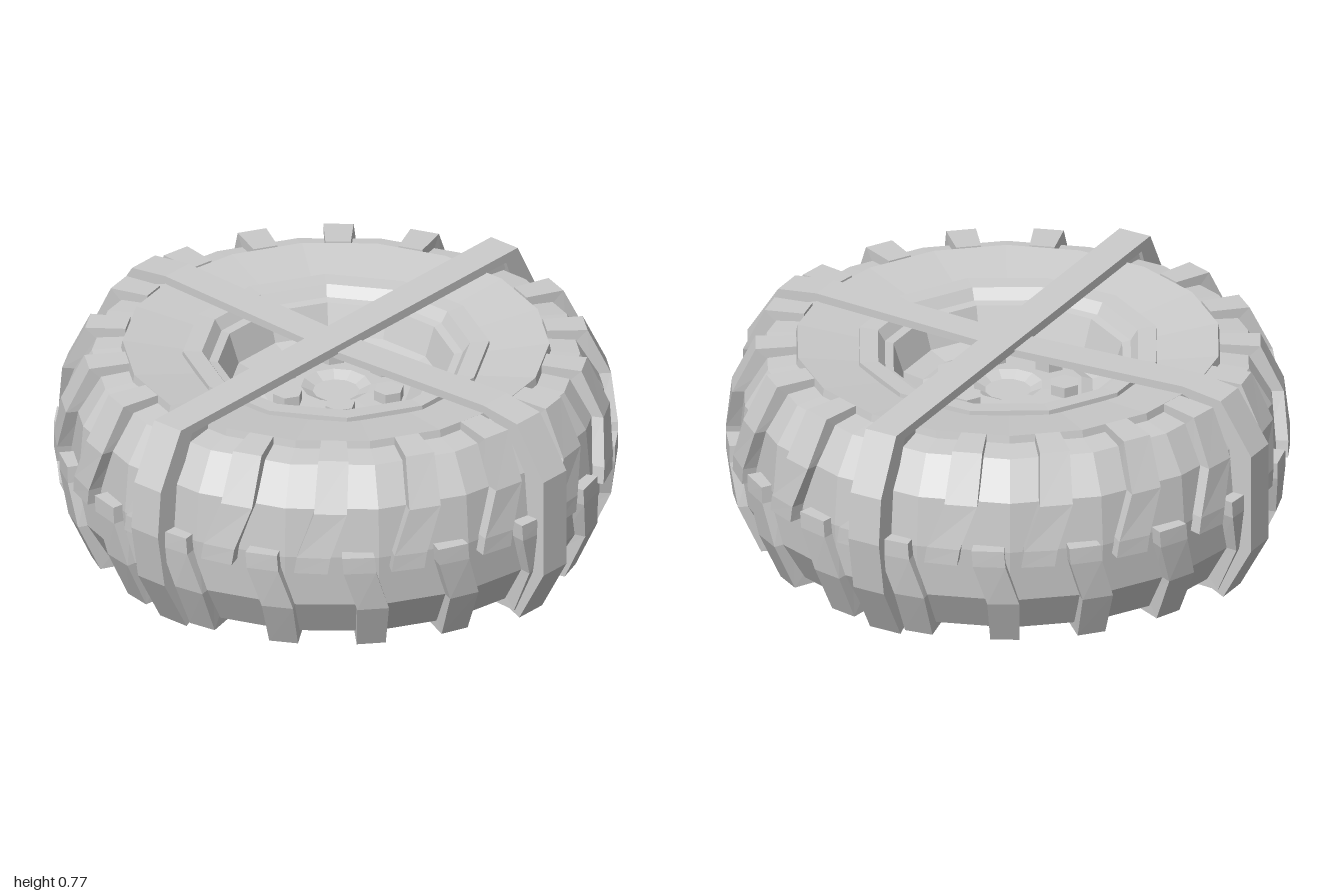
import * as THREE from 'three';

const material = new THREE.MeshStandardMaterial({ color: 0xcccccc, flatShading: true });
const LUGS = 18;

function addMesh(parent, geometry, name) {
  const mesh = new THREE.Mesh(geometry, material);
  mesh.name = name;
  parent.add(mesh);
  return mesh;
}

function lathe(profile, sides) {
  const points = profile.map(([r, y]) => new THREE.Vector2(r, y));
  return new THREE.LatheGeometry(points, sides, Math.PI / sides);
}

// Tread block swept through stations [outer r, outer y, inner r, inner y, angle shift]
function lugGeometry(stations, halfAngle) {
  const pos = [];
  const point = (r, y, a) => [r * Math.sin(a), y, r * Math.cos(a)];
  const rings = stations.map(([ro, yo, ri, yi, a]) => [
    point(ro, yo, a - halfAngle), point(ro, yo, a + halfAngle),
    point(ri, yi, a + halfAngle), point(ri, yi, a - halfAngle),
  ]);
  const quad = (a, b, c, d) => pos.push(...a, ...b, ...c, ...a, ...c, ...d);
  for (let i = 0; i < rings.length - 1; i++) {
    for (let k = 0; k < 4; k++) {
      const n = (k + 1) % 4;
      quad(rings[i][k], rings[i][n], rings[i + 1][n], rings[i + 1][k]);
    }
  }
  const last = rings[rings.length - 1];
  quad(last[0], last[1], last[2], last[3]);
  quad(rings[0][3], rings[0][2], rings[0][1], rings[0][0]);
  const g = new THREE.BufferGeometry();
  g.setAttribute('position', new THREE.Float32BufferAttribute(pos, 3));
  g.computeVertexNormals();
  return g;
}

// Flat band following a mirrored half profile, given from the bottom end to the middle
function strapGeometry(outer, inner, width) {
  const mirror = (pts) => [...pts, ...pts.slice().reverse().map(([x, y]) => [-x, y])];
  const outline = [...mirror(outer), ...mirror(inner).reverse()];
  const shape = new THREE.Shape(outline.map(([x, y]) => new THREE.Vector2(x, y)));
  return new THREE.ExtrudeGeometry(shape, { depth: width, bevelEnabled: false })
    .translate(0, 0, -width / 2);
}

export function createModel() {
  const group = new THREE.Group();
  group.name = 'strappedTyre';

  // Tyre carcass with raised sidewall
  addMesh(group, lathe([
    [0, 0.032], [0.73, 0.032], [0.735, 0.045], [0.83, 0.055], [0.915, 0.2], [0.93, 0.39],
    [0.915, 0.57], [0.835, 0.7], [0.735, 0.71], [0.73, 0.737], [0.45, 0.695],
  ], LUGS), 'tyre');

  // Staggered upper and lower tread blocks
  const upper = lugGeometry([
    [0.965, 0.35, 0.89, 0.35, 0], [0.965, 0.41, 0.89, 0.41, 0.01],
    [0.945, 0.57, 0.87, 0.57, 0.07], [0.865, 0.735, 0.8, 0.67, 0.08],
    [0.725, 0.74, 0.725, 0.67, 0.08],
  ], 0.06);
  const lower = lugGeometry([
    [0.725, 0.025, 0.725, 0.09, 0.06], [0.865, 0.025, 0.8, 0.1, 0.06],
    [0.945, 0.2, 0.87, 0.2, 0.055], [0.965, 0.35, 0.89, 0.35, 0.005],
    [0.965, 0.41, 0.89, 0.41, 0],
  ], 0.058);
  const tread = new THREE.Group();
  tread.name = 'tread';
  group.add(tread);
  for (let i = 0; i < LUGS; i++) {
    const a = (i / LUGS) * Math.PI * 2;
    addMesh(tread, upper, 'upperLug').rotation.y = a - 0.075;
    addMesh(tread, lower, 'lowerLug').rotation.y = a + 0.095;
  }

  // Stepped wheel rim and hub dish
  addMesh(group, lathe([
    [0.53, 0.66], [0.525, 0.722], [0.46, 0.718], [0.435, 0.68], [0.405, 0.675], [0.37, 0.57],
    [0.3, 0.55], [0.26, 0.565], [0.12, 0.57], [0.08, 0.55], [0, 0.55],
  ], 12), 'rim');

  // Underside cover plate
  addMesh(group, new THREE.CylinderGeometry(0.475, 0.475, 0.02, 12, 1, false, Math.PI / 12)
    .translate(0, 0.03, 0), 'bottomPlate');

  // Wheel bolts
  const bolt = new THREE.CylinderGeometry(0.053, 0.053, 0.06, 6).rotateY(Math.PI / 6);
  for (let i = 0; i < 6; i++) {
    const a = Math.PI / 4 + (i * Math.PI) / 3;
    addMesh(group, bolt, 'bolt').position.set(0.2 * Math.cos(a), 0.575, 0.2 * Math.sin(a));
  }

  // Two crossed tie-down straps
  addMesh(group, strapGeometry(
    [[0.88, 0], [0.99, 0.2], [0.99, 0.56], [0.87, 0.745], [0.72, 0.765], [0.06, 0.742]],
    [[0.82, 0.03], [0.9, 0.2], [0.9, 0.55], [0.82, 0.7], [0.72, 0.735], [0.06, 0.715]],
    0.12), 'crossStrap');
  addMesh(group, strapGeometry(
    [[0.85, 0], [0.965, 0.2], [1, 0.4], [0.985, 0.57], [0.88, 0.768], [0.06, 0.768]],
    [[0.8, 0.03], [0.89, 0.2], [0.9, 0.4], [0.89, 0.56], [0.82, 0.735], [0.06, 0.735]],
    0.12).rotateY(-Math.PI / 2), 'lengthStrap');

  return group;
}
